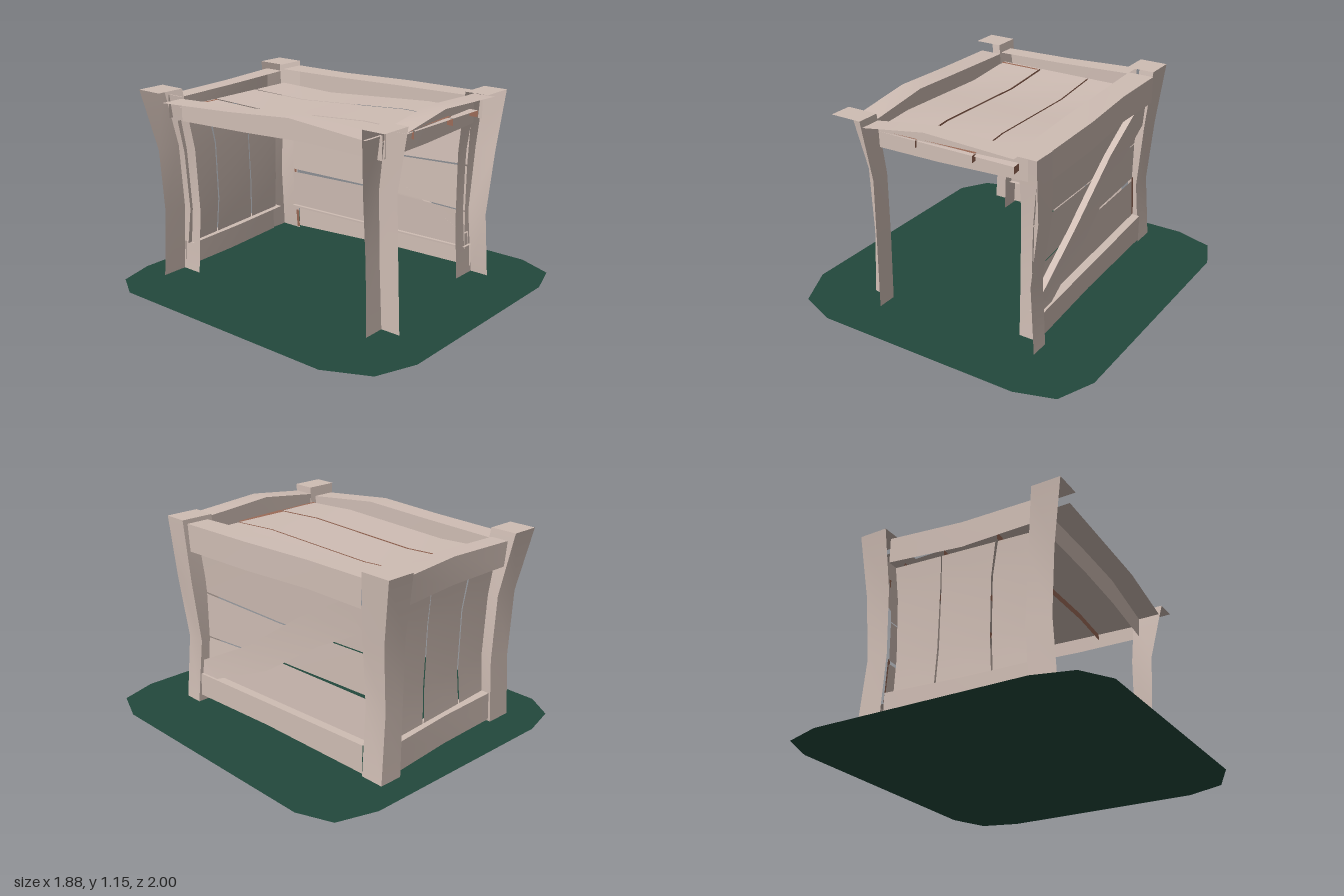
import * as THREE from 'three';

function mat(name, color) {
  const m = new THREE.MeshStandardMaterial({ color, side: THREE.DoubleSide });
  m.name = name;
  return m;
}

// Ribbon between two polylines: smooth along its length, sharp at its edges
function ribbon(a, b) {
  const pos = [], index = [];
  a.forEach((p, i) => {
    pos.push(...p, ...b[i]);
    if (i) {
      const k = 2 * i;
      index.push(k - 2, k - 1, k, k - 1, k + 1, k);
    }
  });
  const g = new THREE.BufferGeometry();
  g.setAttribute('position', new THREE.Float32BufferAttribute(pos, 3));
  g.setIndex(index);
  g.computeVertexNormals();
  return g;
}

export function createModel() {
  const wood = mat('paleWood', 0xcfbdb4);
  const brown = mat('brownWood', 0x9b6b58);
  const green = mat('darkGreen', 0x23483c);
  const model = new THREE.Group();
  model.name = 'crate';

  const part = (name, material, ...faces) => {
    const group = new THREE.Group();
    group.name = name;
    for (const [a, b] of faces) {
      const mesh = new THREE.Mesh(ribbon(a, b), material);
      mesh.name = name + 'Face';
      group.add(mesh);
    }
    model.add(group);
  };
  const lerp = THREE.MathUtils.lerp;

  // Ground patch with cut corners
  const outline = [[-.62, -1], [.63, -1], [.86, -.925], [.94, -.725], [.94, .715], [.85, .93],
    [.63, 1], [-.59, 1], [-.82, .91], [-.94, .66], [-.94, -.77], [-.835, -.94]];
  const ground = new THREE.Mesh(
    new THREE.ShapeGeometry(new THREE.Shape(outline.map(([x, z]) => new THREE.Vector2(x, -z)))), green);
  ground.rotation.x = -Math.PI / 2;
  ground.name = 'ground';
  model.add(ground);

  // Warped corner posts: back face, left face and top cap
  const ys = [.01, .4, .78, 1.14];
  const post = (name, x0, x1, z0, z1) => {
    const edge = (xs, zs) => ys.map((y, i) => [xs[i], y, zs[i]]);
    const a = edge(x0, z0), b = edge(x1, z0), c = edge(x1, z1), d = edge(x0, z1);
    part(name, wood, [b, a], [c, b], [[a[3], b[3]], [d[3], c[3]]]);
  };
  post('frontRightPost', [-.54, -.53, -.55, -.62], [-.41, -.415, -.42, -.43],
    [.64, .625, .62, .665], [.757, .745, .735, .8]);
  post('frontLeftPost', [.404, .4, .4, .4], [.565, .535, .585, .6],
    [.573, .557, .557, .59], [.687, .676, .69, .735]);
  post('backLeftPost', [.33, .315, .32, .33], [.47, .44, .47, .5],
    [-.86, -.85, -.86, -.91], [-.72, -.71, -.71, -.73]);
  post('backRightPost', [-.657, -.63, -.65, -.72], [-.5, -.48, -.5, -.55],
    [-.79, -.785, -.79, -.845], [-.66, -.65, -.65, -.68]);

  // Beams across x; stations are [x, back z, front z, bottom y, top y]
  const crossBeam = (name, stations) => {
    const top = stations.map(([x, z, , , y]) => [x, y, z]);
    part(name, wood,
      [top, stations.map(([x, z, , y]) => [x, y, z])],
      [stations.map(([x, , z, , y]) => [x, y, z]), top]);
  };
  crossBeam('backTopBeam', [[-.55, -.8, -.69, .95, 1.09], [-.1, -.8, -.69, .945, 1.1], [.33, -.86, -.735, .95, 1.1]]);
  crossBeam('frontTopBeam', [[-.43, .66, .785, .95, 1.1], [-.05, .64, .76, .945, 1.15], [.47, .605, .735, .95, 1.12]]);
  crossBeam('backBottomBeam', [[-.5, -.775, -.7, .02, .19], [-.1, -.79, -.72, .02, .19], [.33, -.83, -.76, .02, .19]]);

  // Beams along z; stations are [z, inner x, outer x, bottom y, top y]
  const sideBeam = (name, stations) => {
    const top = stations.map(([z, , x, , y]) => [x, y, z]);
    part(name, wood,
      [stations.map(([z, , x, y]) => [x, y, z]), top],
      [top, stations.map(([z, x, , , y]) => [x, y, z])]);
  };
  sideBeam('leftTopBeam', [[-.73, .34, .5, .95, 1.11], [-.35, .36, .505, .955, 1.11],
    [.1, .39, .55, .955, 1.115], [.6, .43, .57, .955, 1.115]]);
  sideBeam('rightTopBeam', [[-.69, -.69, -.55, .95, 1.08], [-.2, -.66, -.53, .96, 1.1],
    [.2, -.63, -.5, .97, 1.125], [.67, -.6, -.465, .95, 1.08]]);
  sideBeam('leftBottomBeam', [[-.72, .4, .47, .025, .19], [0, .44, .51, .05, .19], [.58, .47, .545, .05, .19]]);

  // Top planks, gently waving along z, with thin side edges
  const zs = [-.72, -.35, 0, .35, .66];
  const roofY = (z) => 1.03 + .02 * Math.sin(z * 4);
  const roofLine = (xBack, xFront, drop = 0) => zs.map((z, i) =>
    [lerp(xBack, xFront, i / 4), roofY(z) - drop, z]);
  for (const [b0, b1, f0, f1] of [[-.54, -.27, -.455, -.185], [-.255, .07, -.17, .175], [.08, .335, .185, .425]]) {
    part('topPlank', wood, [roofLine(b0, f0), roofLine(b1, f1)]);
    part('topPlankEdge', brown, [roofLine(b1, f1), roofLine(b1, f1, .04)]);
  }
  // Brown plank ends showing beside the top beams
  const endStrip = (x0, x1, z0, z1) => {
    const y = Math.max(roofY(z0), roofY(z1)) + .005;
    part('topPlankEnd', brown, [[[x0, y, z0], [x1, y, z0]], [[x0, y, z1], [x1, y, z1]]]);
  };
  endStrip(-.45, -.18, .637, .655);
  endStrip(-.165, .18, .605, .645);
  endStrip(-.54, -.27, -.7, -.682);

  // Back wall planks, bowed with the posts; edges are x at each height
  const py = [.19, .4, .75, .945];
  const backZ = (x, y) => -.735 - .07 * (x + .55) / .88 + .025 * Math.sin(Math.PI * y);
  const backLine = (xs) => xs.map((x, i) => [x, py[i], backZ(x, py[i])]);
  for (const [l, r] of [
    [[-.52, -.5, -.52, -.55], [-.27, -.255, -.26, -.295]],
    [[-.26, -.245, -.25, -.28], [.055, .05, .045, .04]],
    [[.065, .06, .052, .045], [.305, .305, .315, .33]]]) {
    part('backPlank', wood, [backLine(r), backLine(l)]);
  }

  // Left wall planks; heights are given at three stations along z
  const wallZ = [-.715, -.05, .57];
  const wallX = (z, y) => .465 + .055 * z - .03 * Math.sin(Math.PI * Math.min(1, y)) + .01;
  const wallLine = (h) => h.map((y, i) => [wallX(wallZ[i], y), y, wallZ[i]]);
  for (const [lo, hi] of [
    [[.17, .17, .17], [.42, .43, .408]],
    [[.44, .438, .415], [.668, .664, .685]],
    [[.675, .672, .695], [.932, .935, .93]]]) {
    part('leftPlank', wood, [wallLine(lo), wallLine(hi)]);
  }

  // Worn brown plank ends beside the back post
  for (const [y0, y1] of [[.03, .15], [.2, .45], [.9, .95]]) {
    const p = (y, z) => [wallX(z, y) + .008, y, z];
    part('leftPlankEnd', brown, [[p(y0, -.695), p(y1, -.695)], [p(y0, -.715), p(y1, -.715)]]);
  }

  // Diagonal brace on the left wall, with its upper edge
  const bracePoint = (out) => ([z, y]) => [wallX(z, y) + out, y, z];
  const upper = [[.57, .27], [.16, .484], [-.26, .773], [-.58, .95]];
  const lower = [[.44, .19], [.02, .37], [-.39, .64], [-.71, .805]];
  const up = upper.map(bracePoint(.04));
  const corner = bracePoint(.04)([.57, .19]);
  const topCorner = bracePoint(.04)([-.71, .95]);
  part('brace', wood,
    [lower.map(bracePoint(.04)), up],
    [up, upper.map(bracePoint(0))],
    [[corner, lower.map(bracePoint(.04))[0]], [up[0], up[0]]],
    [[lower.map(bracePoint(.04))[3], topCorner], [up[3], up[3]]]);

  return model;
}
